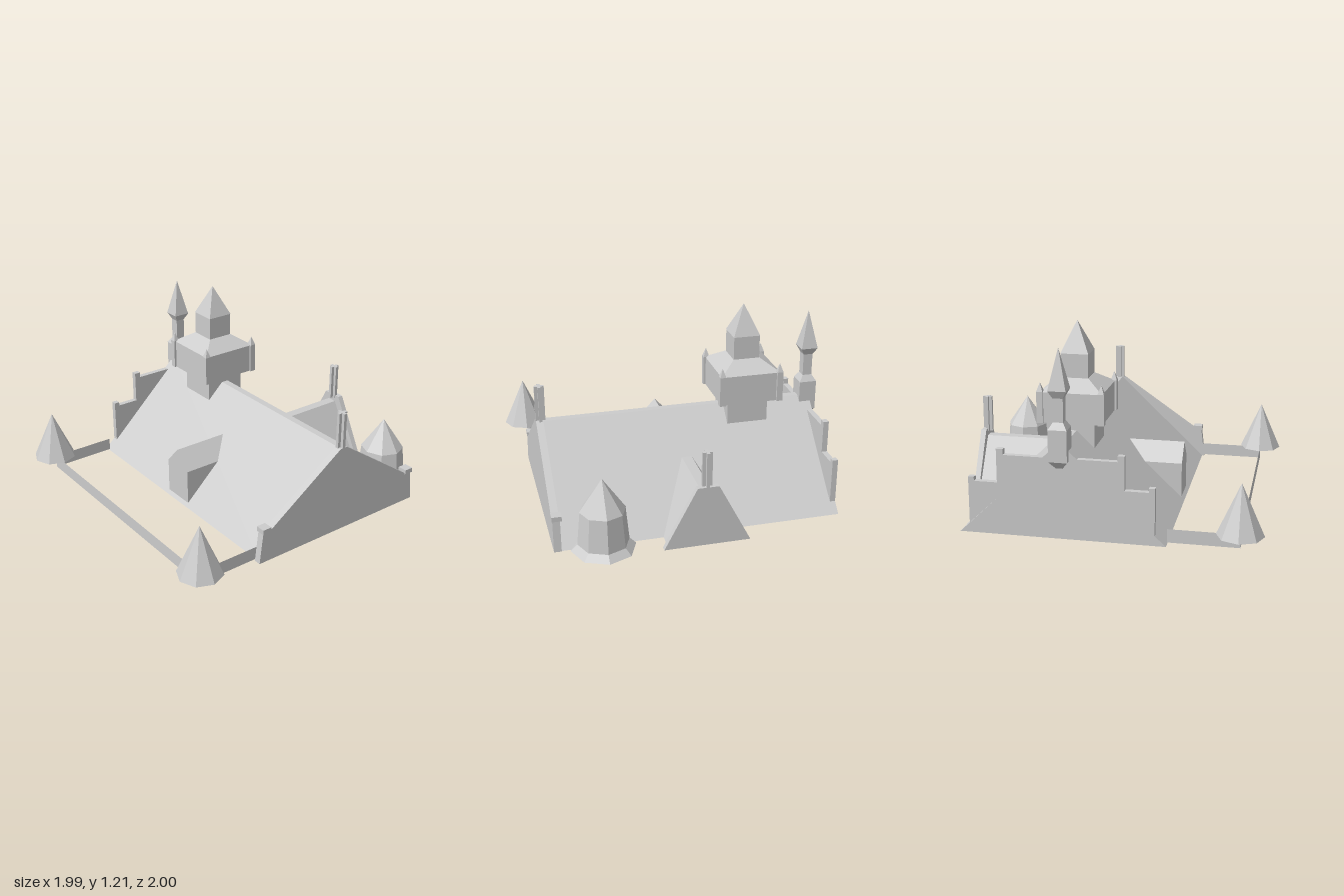
import * as THREE from 'three';

const RIDGE = 0.565;
// z of the main roof surface at height y
const roofFront = (y) => 0.44 - y * 0.595 / RIDGE;
const roofBack = (y) => -0.79 + y * 0.59 / RIDGE;

export function createModel() {
  const model = new THREE.Group();
  const stone = new THREE.MeshStandardMaterial({ color: 0xcccccc, flatShading: true, side: THREE.DoubleSide });
  stone.name = 'pale stone';

  const add = (name, geometry, parent = model) => {
    const mesh = new THREE.Mesh(geometry, stone);
    mesh.name = name;
    parent.add(mesh);
    return mesh;
  };
  const group = (name, x, z) => {
    const g = new THREE.Group();
    g.name = name;
    g.position.set(x, 0, z);
    model.add(g);
    return g;
  };
  const box = (name, x0, x1, y0, y1, z0, z1, parent) => add(name,
    new THREE.BoxGeometry(x1 - x0, y1 - y0, z1 - z0)
      .translate((x0 + x1) / 2, (y0 + y1) / 2, (z0 + z1) / 2), parent);
  const shapeOf = (pts) => new THREE.Shape(pts.map((p) => new THREE.Vector2(p[0], p[1])));
  const extrude = (pts, depth) => new THREE.ExtrudeGeometry(shapeOf(pts), { depth, bevelEnabled: false });

  // open strip joining two matching rows of points
  const sheet = (name, a, b) => {
    const pos = [];
    for (let i = 0; i < a.length - 1; i++) {
      pos.push(...a[i], ...b[i], ...b[i + 1], ...a[i], ...b[i + 1], ...a[i + 1]);
    }
    const g = new THREE.BufferGeometry();
    g.setAttribute('position', new THREE.Float32BufferAttribute(pos, 3));
    g.computeVertexNormals();
    return add(name, g);
  };
  // square section tapering from half-width r0 to r1
  const square = (name, r0, r1, y0, y1, parent, x = 0, z = 0) => add(name,
    new THREE.CylinderGeometry(r1 * Math.SQRT2, r0 * Math.SQRT2, y1 - y0, 4)
      .rotateY(Math.PI / 4).translate(x, (y0 + y1) / 2, z), parent);
  const octagon = (name, r0, r1, y0, y1, parent) => add(name,
    new THREE.CylinderGeometry(r1, r0, y1 - y0, 8, 1, true).translate(0, (y0 + y1) / 2, 0), parent);

  // main roof: open shell with a narrow flat ridge
  const profile = [[0.44, 0], [-0.155, RIDGE], [-0.2, RIDGE], [-0.79, 0]];
  const row = (x) => profile.map(([z, y]) => [x, y, z]);
  sheet('mainRoof', row(0.86), row(-0.885));

  // left gable wall with stepped parapets
  add('leftGable', new THREE.ShapeGeometry(shapeOf(profile.map(([z, y]) => [-z, y])))
    .rotateY(Math.PI / 2).translate(-0.884, 0, 0));
  const steps = [[-0.08, 0.49], [0.16, 0.49], [0.16, 0.525], [0.2, 0.525], [0.2, 0.32], [0.34, 0.32],
    [0.34, 0.345], [0.375, 0.345], [0.375, 0.06]];
  for (const side of [1, -1]) {
    const pts = steps.map(([z, y]) => [side > 0 ? -z : 0.355 + z, y]);
    add('steppedParapet', extrude(pts, 0.035).rotateY(Math.PI / 2).translate(-0.885, 0, 0));
  }

  // right gable: raised slab with kneelers and a chimney
  const gable = [[0.455, 0], [0.43, 0.2], [0.38, 0.2], [-0.15, RIDGE], [-0.2, RIDGE],
    [-0.73, 0.2], [-0.775, 0.2], [-0.795, 0]];
  add('rightGable', extrude(gable.map(([z, y]) => [-z, y]), 0.045)
    .rotateY(Math.PI / 2).translate(0.84, 0, 0));
  box('kneeler', 0.83, 0.89, 0.195, 0.225, 0.375, 0.435);
  box('kneeler', 0.83, 0.89, 0.195, 0.225, -0.785, -0.725);

  // chimneys with a cross-shaped section
  const chimney = (x, z, y0, y1) => {
    const g = group('chimney', x, z);
    box('chimneyFin', -0.03, 0.03, y0, y1, -0.01, 0.01, g);
    box('chimneyFin', -0.01, 0.01, y0, y1, -0.03, 0.03, g);
  };
  chimney(0.855, -0.175, 0.55, 0.79);
  chimney(0, -0.9, 0.36, 0.595);

  // prism along z whose inner end is trimmed to the main roof
  const trimmedPrism = (name, pts, outerZ, roofZ) => {
    const g = extrude(pts, 1);
    const p = g.attributes.position;
    for (let i = 0; i < p.count; i++) {
      p.setZ(i, (p.getZ(i) > 0.5) === (outerZ > 0) ? outerZ : roofZ(p.getY(i)));
    }
    g.computeVertexNormals();
    add(name, g);
  };
  trimmedPrism('frontDormer',
    [[-0.112, 0.02], [0.102, 0.02], [0.102, 0.245], [-0.005, 0.36], [-0.112, 0.245]], 0.42, roofFront);
  trimmedPrism('backWingRoof',
    [[-0.24, 0], [0.23, 0], [0.027, 0.335], [-0.035, 0.335]], -0.9, roofBack);
  add('backWingGable', extrude([[-0.265, 0], [0.26, 0], [0.062, 0.38], [-0.067, 0.38]], 0.035)
    .translate(0, 0, -0.93));

  // main square tower
  const tower = group('mainTower', -0.435, -0.175);
  square('towerShaft', 0.13, 0.13, 0.46, 0.62, tower);
  square('towerGallery', 0.19, 0.19, 0.62, 0.805, tower);
  square('galleryRoof', 0.19, 0.085, 0.805, 0.875, tower);
  square('lantern', 0.083, 0.083, 0.87, 1.02, tower);
  square('lanternSpire', 0.085, 0, 1.02, 1.21, tower);
  for (const sx of [-1, 1]) {
    for (const sz of [-1, 1]) {
      square('cornerPost', 0.019, 0.019, 0.62, 0.81, tower, sx * 0.185, sz * 0.185);
      square('cornerSpike', 0.019, 0, 0.81, 0.865, tower, sx * 0.185, sz * 0.185);
    }
  }

  // slim turret on the left gable
  const turret = group('leftTurret', -0.865, -0.18);
  square('turretCorbel', 0.02, 0.055, 0.43, 0.475, turret);
  square('turretBase', 0.055, 0.055, 0.475, 0.665, turret);
  square('turretShoulder', 0.055, 0.03, 0.665, 0.705, turret);
  square('turretShaft', 0.03, 0.03, 0.7, 0.85, turret);
  square('turretCap', 0.03, 0.053, 0.845, 0.89, turret);
  square('turretSpire', 0.053, 0, 0.89, 1.13, turret);

  // round tower at the back
  const round = group('backRoundTower', 0.595, -0.805);
  octagon('towerFoot', 0.195, 0.155, 0, 0.04, round);
  octagon('towerWall', 0.155, 0.135, 0.04, 0.25, round);
  octagon('towerRoof', 0.138, 0, 0.25, 0.45, round);

  // courtyard wall and conical corner roofs
  const path = [[-0.84, 0.44], [-0.84, 0.86], [0.84, 0.86], [0.84, 0.44]];
  sheet('courtyardWall', path.map(([x, z]) => [x, 0.01, z]), path.map(([x, z]) => [x, 0.092, z]));
  for (const s of [-1, 1]) {
    octagon('cornerRoof', 0.138, 0, 0.095, 0.405, group('cornerTower', s * 0.856, 0.858));
  }
  return model;
}
